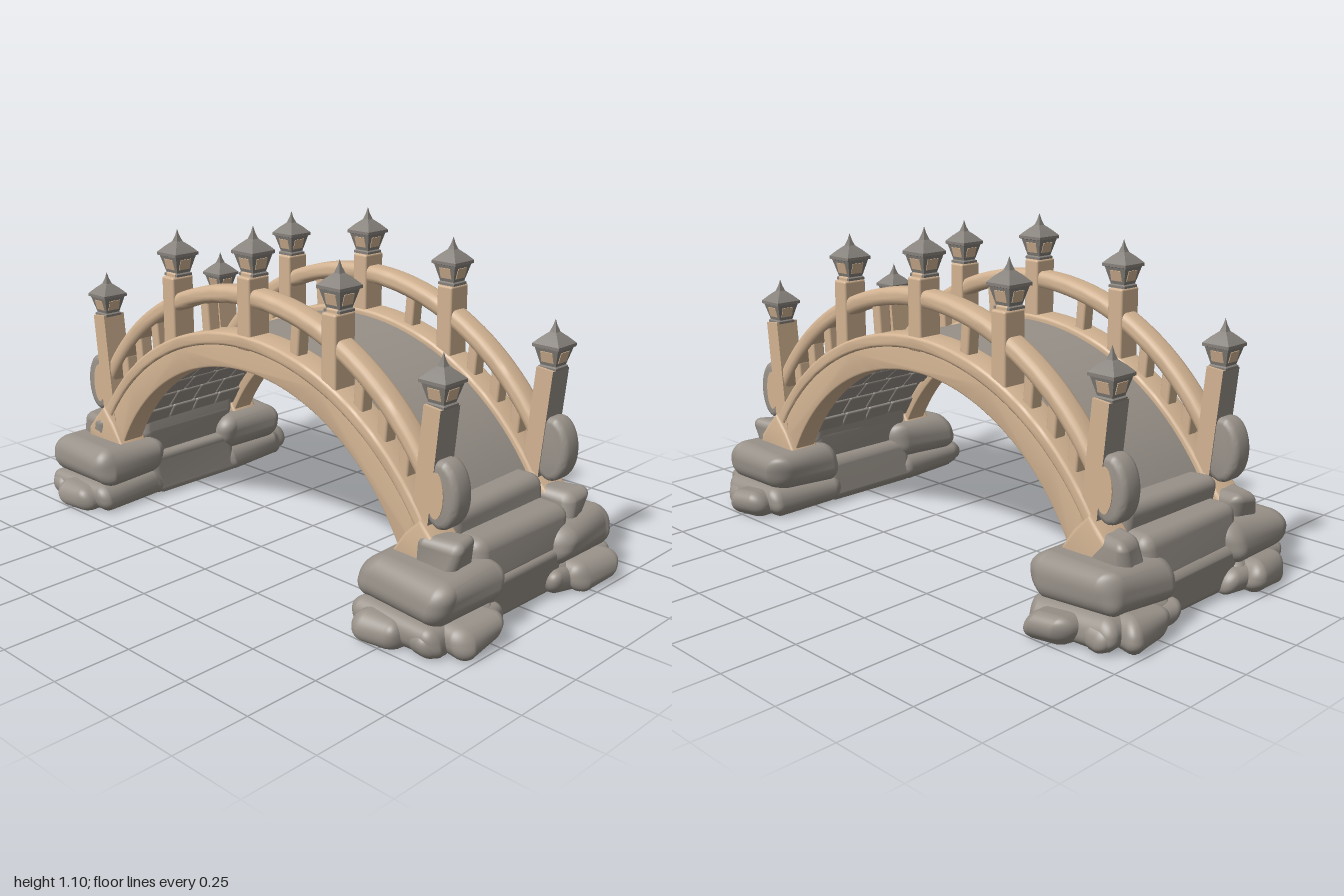
import * as THREE from 'three';
import { mergeVertices, toCreasedNormals } from 'three/addons/utils/BufferGeometryUtils.js';
import { RoundedBoxGeometry } from 'three/addons/geometries/RoundedBoxGeometry.js';

const material = (name, color) => {
  const m = new THREE.MeshStandardMaterial({ color });
  m.name = name;
  return m;
};

export function createModel() {
  const bridge = new THREE.Group();
  bridge.name = 'archedBridge';
  const tan = material('sandstone', 0xd2b392);
  const grey = material('greyStone', 0x989189);
  const slate = material('lanternStone', 0x85807a);

  const add = (name, geometry, mat, parent = bridge) => {
    const mesh = new THREE.Mesh(geometry, mat);
    mesh.name = name;
    parent.add(mesh);
    return mesh;
  };

  // Points along a circular arc with the given apex height, from -xEnd to +xEnd
  const arc = (radius, apex, xEnd, n = 48) => {
    const a = Math.asin(xEnd / radius);
    return Array.from({ length: n + 1 }, (_, i) => {
      const t = -a + (2 * a * i) / n;
      return new THREE.Vector2(radius * Math.sin(t), apex - radius + radius * Math.cos(t));
    });
  };
  const heightAt = (radius, apex, x) => apex - radius + Math.sqrt(radius * radius - x * x);

  // Solid of constant depth, centred on z, bevel kept inside the depth
  const slab = (shape, depth, bevel = 0) => {
    const g = new THREE.ExtrudeGeometry(shape, {
      depth: depth - 2 * bevel, bevelEnabled: bevel > 0, bevelSize: bevel,
      bevelOffset: -bevel, bevelThickness: bevel, bevelSegments: 3, curveSegments: 24,
    });
    g.translate(0, 0, -depth / 2 + bevel);
    return toCreasedNormals(g, 0.6);
  };
  const band = (outer, inner, depth, bevel) =>
    slab(new THREE.Shape([...inner, ...outer.reverse()]), depth, bevel);

  // Weathered rock: a rounded box between two corners, pushed about by waves
  const rock = (name, x0, x1, y0, y1, z0, z1, sx, round = 0.045, rough = 0.012) => {
    const w = x1 - x0, h = y1 - y0, d = z1 - z0;
    let g = new RoundedBoxGeometry(w, h, d, 6, Math.min(round, h * 0.48));
    g.translate(sx * (x0 + x1) / 2, (y0 + y1) / 2, (z0 + z1) / 2);
    g.deleteAttribute('normal');
    g.deleteAttribute('uv');
    g = mergeVertices(g);
    const p = g.attributes.position;
    for (let i = 0; i < p.count; i++) {
      const x = p.getX(i), y = p.getY(i), z = p.getZ(i);
      p.setXYZ(i,
        x + rough * Math.sin(19 * z + 23 * y + x),
        Math.max(0, y + (y < 0.005 ? 0 : rough * 0.5 * Math.sin(17 * x + 21 * z))),
        z + rough * Math.sin(21 * x + 15 * y));
    }
    g.computeVertexNormals();
    add(name, g, grey);
  };

  // Walkway and its masonry underside
  add('deck', band(arc(0.88, 0.73, 0.82), arc(0.775, 0.665, 0.7), 0.48), grey);
  const rows = 18;
  for (let i = 0; i < rows; i++) {
    const a = -1.08 + (2.16 * (i + 0.5)) / rows;
    for (let j = 0; j < 4; j++) {
      const brick = add('vaultStone', new RoundedBoxGeometry(0.085, 0.02, 0.108, 2, 0.007), grey);
      brick.position.set(0.773 * Math.sin(a), -0.11 + 0.773 * Math.cos(a),
        (j - 1.5) * 0.112 + (i % 2 ? 0.012 : -0.012));
      brick.rotation.z = -a;
    }
  }

  // Lantern: tapered body, flared roof and four light panes
  const lantern = (x, y, z) => {
    const g = new THREE.Group();
    g.name = 'lantern';
    g.position.set(x, y, z);
    bridge.add(g);
    const profile = [[0, 0], [0.033, 0], [0.033, 0.008], [0.028, 0.012], [0.043, 0.068], [0.049, 0.07],
      [0.049, 0.08], [0.03, 0.1], [0.012, 0.116], [0.005, 0.135], [0, 0.157]]
      .map(([w, h]) => new THREE.Vector2(w * Math.SQRT2, h));
    add('lanternBody', toCreasedNormals(new THREE.LatheGeometry(profile, 4, Math.PI / 4), 0.3), slate, g);
    for (let i = 0; i < 4; i++) {
      const side = new THREE.Group();
      side.name = 'lanternSide';
      side.rotation.y = (i * Math.PI) / 2;
      g.add(side);
      const pane = add('lanternPane', new THREE.BoxGeometry(0.045, 0.036, 0.004), tan, side);
      pane.position.set(0, 0.041, 0.036);
      pane.rotation.x = 0.26;
    }
  };

  for (const sz of [-1, 1]) {
    const z = sz * 0.272;

    // Arched side beam, curb and handrail
    add('sideBeam', band(arc(0.87, 0.715, 0.8), arc(0.745, 0.63, 0.69), 0.085, 0.006), tan).position.z = z;
    add('curb', band(arc(0.9, 0.75, 0.82), arc(0.865, 0.705, 0.8), 0.1, 0.01), tan).position.z = z;
    add('handrail', band(arc(0.91, 0.9, 0.79), arc(0.86, 0.842, 0.765), 0.08, 0.02), tan).position.z = z;

    // Small balusters
    for (const bx of [0.21, 0.48, 0.575, 0.66]) {
      for (const sx of [-1, 1]) {
        const lo = heightAt(0.9, 0.75, bx) - 0.02, hi = heightAt(0.86, 0.842, bx) + 0.02;
        const b = add('baluster', new RoundedBoxGeometry(0.038, hi - lo, 0.05, 2, 0.008), tan);
        b.position.set(sx * bx, (lo + hi) / 2, z);
        b.rotation.z = sx * -0.08;
      }
    }

    // Upright posts with lanterns
    for (const [x, bottom, top] of [[-0.375, 0.63, 0.885], [0, 0.7, 0.94], [0.375, 0.63, 0.885]]) {
      const h = top - bottom;
      add('post', new RoundedBoxGeometry(0.06, h, 0.09, 2, 0.008), tan).position.set(x, bottom + h / 2, z);
      add('postCap', new RoundedBoxGeometry(0.05, 0.025, 0.06, 2, 0.006), tan).position.set(x, top, z);
      lantern(x, top, sz * 0.268);
    }

    for (const sx of [-1, 1]) {
      // Leaning end post, grey on the outward face
      const faces = [tan, tan, tan, tan, tan, tan];
      faces[sx > 0 ? 0 : 1] = grey;
      const post = add('endPost', new THREE.BoxGeometry(0.062, 0.4, 0.088), faces);
      post.position.set(sx * 0.757, 0.485, z);
      post.rotation.z = sx * -0.1;
      lantern(sx * 0.778, 0.68, z);

      // Scroll closing the handrail
      const scroll = new THREE.Shape().absellipse(0, 0, 0.065, 0.105, 0, Math.PI * 2);
      add('endScroll', slab(scroll, 0.082, 0.02), grey).position.set(sx * 0.805, 0.425, z);
      const inlay = new THREE.Shape().absellipse(0, 0, 0.03, 0.07, 0, Math.PI * 2);
      add('scrollInlay', slab(inlay, 0.006), tan).position.set(sx * 0.795, 0.425, z + sz * 0.041);

      // Foot of the side beam
      const foot = new THREE.Shape([[0.64, 0.2], [0.7, 0.29], [0.755, 0.345], [0.8, 0.3], [0.845, 0.25], [0.85, 0.2]]
        .map(([x, y]) => new THREE.Vector2(sx * x, y)));
      add('beamFoot', slab(foot, 0.115, 0.01), tan).position.z = sz * 0.278;

      // Rocks of the corner footing; z spans are mirrored by sz
      const corner = (name, x0, x1, y0, y1, a, b, round) =>
        rock(name, x0, x1, y0, y1, sz > 0 ? a : -b, sz > 0 ? b : -a, sx, round);
      corner('footPad', 0.74, 0.89, 0.18, 0.3, 0.225, 0.335, 0.03);
      corner('upperRock', 0.6, 0.94, 0.085, 0.225, 0.14, 0.44, 0.06);
      corner('baseRock', 0.61, 0.93, 0, 0.1, 0.15, 0.46);
      corner('outerRock', 0.66, 0.82, 0, 0.09, 0.38, 0.515);
      corner('sideRock', 0.82, 0.92, 0, 0.08, 0.36, 0.47);
      corner('endRock', 0.84, 0.99, 0, 0.1, 0.2, 0.4);
      corner('innerEndRock', 0.84, 0.95, 0, 0.085, 0.12, 0.26);
    }
  }

  // Steps and base between the corner footings
  for (const sx of [-1, 1]) {
    rock('base', 0.62, 0.91, 0, 0.16, -0.2, 0.2, sx, 0.03);
    rock('lowerStep', 0.66, 0.9, 0.12, 0.28, -0.225, 0.225, sx, 0.04, 0.007);
    rock('upperStep', 0.66, 0.81, 0.2, 0.35, -0.23, 0.23, sx, 0.04, 0.007);
  }
  return bridge;
}
